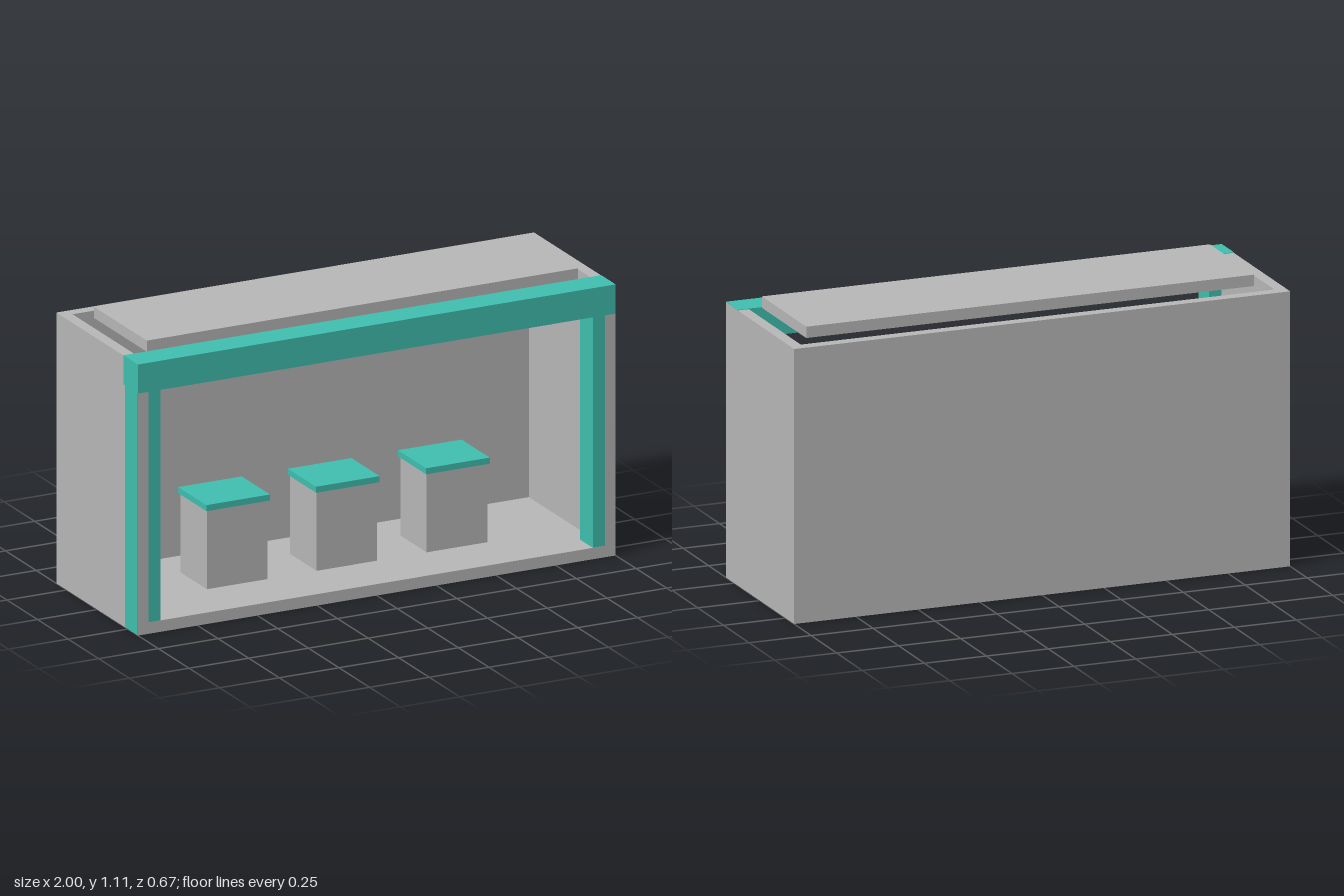
import * as THREE from 'three';

const grey = new THREE.MeshStandardMaterial({ color: 0xb8b8b8 });
grey.name = 'concrete grey';
const teal = new THREE.MeshStandardMaterial({ color: 0x40c0b0 });
teal.name = 'trim teal';

// Box given by its min and max along each axis
function box(name, material, [x0, x1], [y0, y1], [z0, z1]) {
  const mesh = new THREE.Mesh(new THREE.BoxGeometry(x1 - x0, y1 - y0, z1 - z0), material);
  mesh.position.set((x0 + x1) / 2, (y0 + y1) / 2, (z0 + z1) / 2);
  mesh.name = name;
  return mesh;
}

export function createModel() {
  const model = new THREE.Group();
  model.name = 'shelter';
  const wall = 0.045, top = 1.068, front = 0.333, back = -0.335;

  // Open-fronted shell
  model.add(
    box('floor', grey, [-1, 1], [0, wall], [back, front]),
    box('backWall', grey, [-1, 1], [wall, top], [back, back + wall]),
    box('leftWall', grey, [1 - wall, 1], [wall, top], [back + wall, front]),
    box('rightWall', grey, [-1, -1 + wall], [wall, top], [back + wall, front]),
  );

  // Teal front frame; the right post also shows on the outer side
  model.add(
    box('frontBeam', teal, [-1.001, 0.999], [0.955, 1.07], [0.217, 0.335]),
    box('leftPost', teal, [0.905, 0.96], [wall, 0.955], [0.228, 0.332]),
    box('rightPost', teal, [-0.96, -0.905], [wall, 0.955], [0.228, 0.332]),
    box('rightPostOuterFace', teal, [-1.001, -0.99], [0.001, 0.955], [0.228, 0.332]),
  );

  // Roof panel, leaving a gap at the sides and back
  model.add(box('roofPanel', grey, [-0.903, 0.903], [top, 1.112], [-0.218, 0.216]));

  // Row of block stools with teal seats
  for (const x of [-0.463, -0.004, 0.457]) {
    const stool = new THREE.Group();
    stool.name = 'stool';
    stool.add(
      box('stoolBase', grey, [-0.127, 0.127], [wall, 0.356], [-0.12, 0.096]),
      box('stoolSeat', teal, [-0.133, 0.133], [0.356, 0.38], [-0.127, 0.104]),
    );
    stool.position.x = x;
    model.add(stool);
  }
  return model;
}
